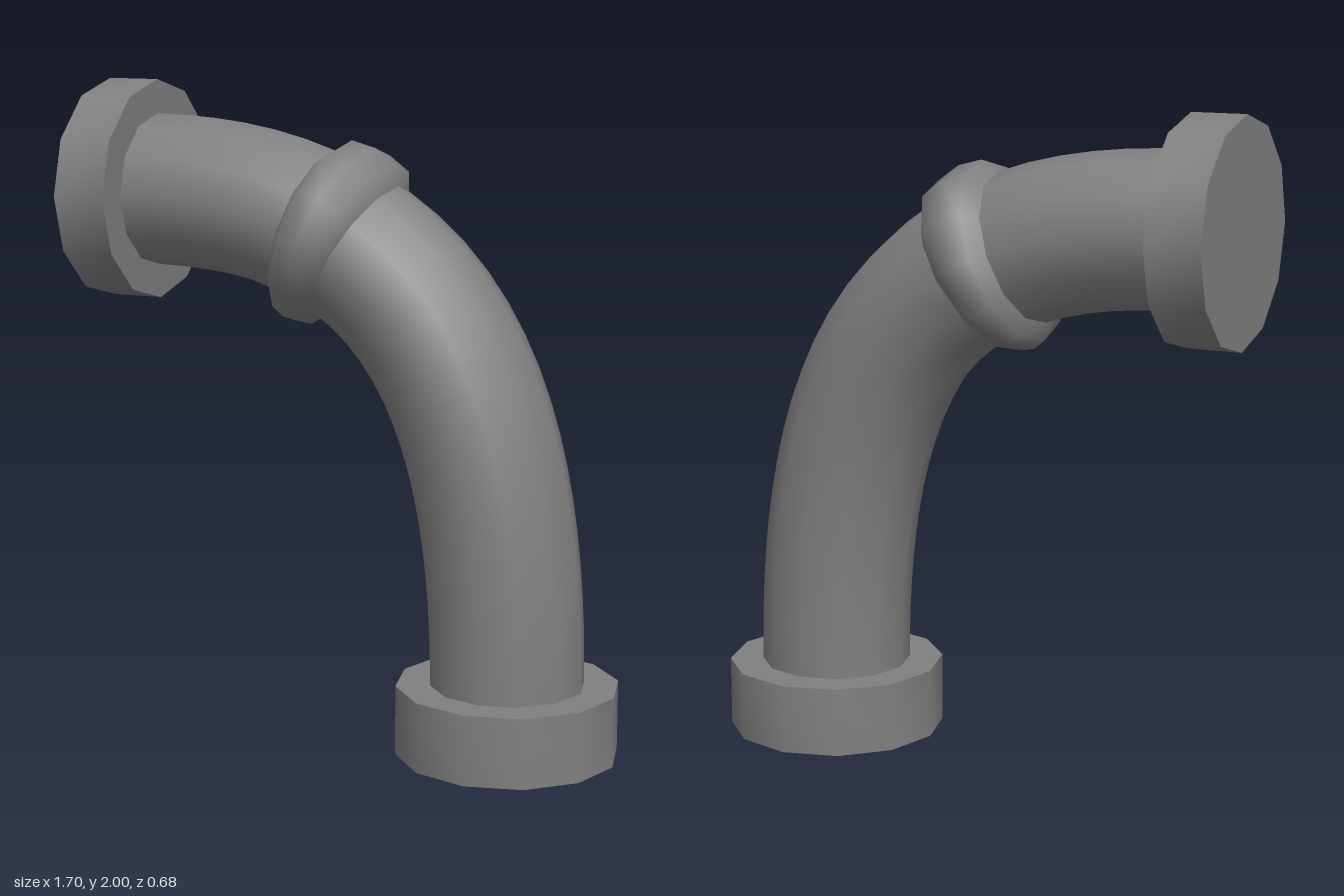
import * as THREE from 'three';
import { toCreasedNormals } from 'three/addons/utils/BufferGeometryUtils.js';

const SIDES = 12;
const PIPE_R = 0.235;

// Skin of 12-sided rings swept along a curve in the xy plane
function sweep(stations) {
  const positions = [];
  const indices = [];
  const across = new THREE.Vector3(0, 0, 1);
  stations.forEach(({ point, tangent, radius }) => {
    const outward = new THREE.Vector3().crossVectors(tangent, across).normalize();
    for (let j = 0; j < SIDES; j++) {
      const a = (j / SIDES) * Math.PI * 2;
      const p = point.clone()
        .addScaledVector(outward, radius * Math.cos(a))
        .addScaledVector(across, radius * Math.sin(a));
      positions.push(p.x, p.y, p.z);
    }
  });
  for (let i = 0; i < stations.length - 1; i++) {
    for (let j = 0; j < SIDES; j++) {
      const k = (j + 1) % SIDES;
      const a = i * SIDES + j, b = i * SIDES + k;
      const c = a + SIDES, d = b + SIDES;
      indices.push(a, c, b, b, c, d);
    }
  }
  const geometry = new THREE.BufferGeometry();
  geometry.setAttribute('position', new THREE.Float32BufferAttribute(positions, 3));
  geometry.setIndex(indices);
  geometry.computeVertexNormals();
  return geometry;
}

// Turned flange with sharp rims and softly shaded sides
function turned(profile) {
  const points = profile.map(([r, y]) => new THREE.Vector2(r, y));
  return toCreasedNormals(new THREE.LatheGeometry(points, SIDES), 0.7);
}

export function createModel() {
  const group = new THREE.Group();
  group.name = 'pipeElbow';
  const metal = new THREE.MeshStandardMaterial({ color: 0x808080, side: THREE.DoubleSide });
  metal.name = 'grey metal';

  const add = (name, geometry) => {
    const mesh = new THREE.Mesh(geometry, metal);
    mesh.name = name;
    group.add(mesh);
    return mesh;
  };

  // Centre line of the bend
  const bend = new THREE.CubicBezierCurve3(
    new THREE.Vector3(0.505, 0.2, 0),
    new THREE.Vector3(0.505, 1.3, 0),
    new THREE.Vector3(0.1, 1.66, 0),
    new THREE.Vector3(-0.68, 1.66, 0)
  );
  const station = (u, radius) => ({
    point: bend.getPointAt(u), tangent: bend.getTangentAt(u), radius
  });

  // Pipe, with short straight ends running into the flanges
  const rings = [{
    point: new THREE.Vector3(0.505, 0.01, 0), tangent: new THREE.Vector3(0, 1, 0), radius: PIPE_R
  }];
  for (let i = 0; i <= 24; i++) rings.push(station(i / 24, PIPE_R));
  rings.push({
    point: new THREE.Vector3(-0.84, 1.66, 0), tangent: new THREE.Vector3(-1, 0, 0), radius: PIPE_R
  });
  add('pipe', sweep(rings));

  // Raised collar around the bend
  const length = bend.getLength();
  const middle = 1 - 0.63 / length;
  const collar = [[-0.095, 0.23], [-0.06, 0.285], [0, 0.297], [0.06, 0.285], [0.095, 0.23]];
  add('collar', sweep(collar.map(([s, r]) => station(middle + s / length, r))));

  // Open flange at the foot
  const foot = add('bottomFlange', turned([
    [PIPE_R, 0.215], [PIPE_R, 0], [0.34, 0], [0.34, 0.215], [PIPE_R, 0.215]
  ]));
  foot.position.x = 0.505;

  // Closed flange at the upper end
  const end = add('topFlange', turned([
    [PIPE_R, -0.085], [0.34, -0.085], [0.34, 0.085], [0, 0.085]
  ]));
  end.position.set(-0.765, 1.66, 0);
  end.rotation.z = Math.PI / 2;

  return group;
}
